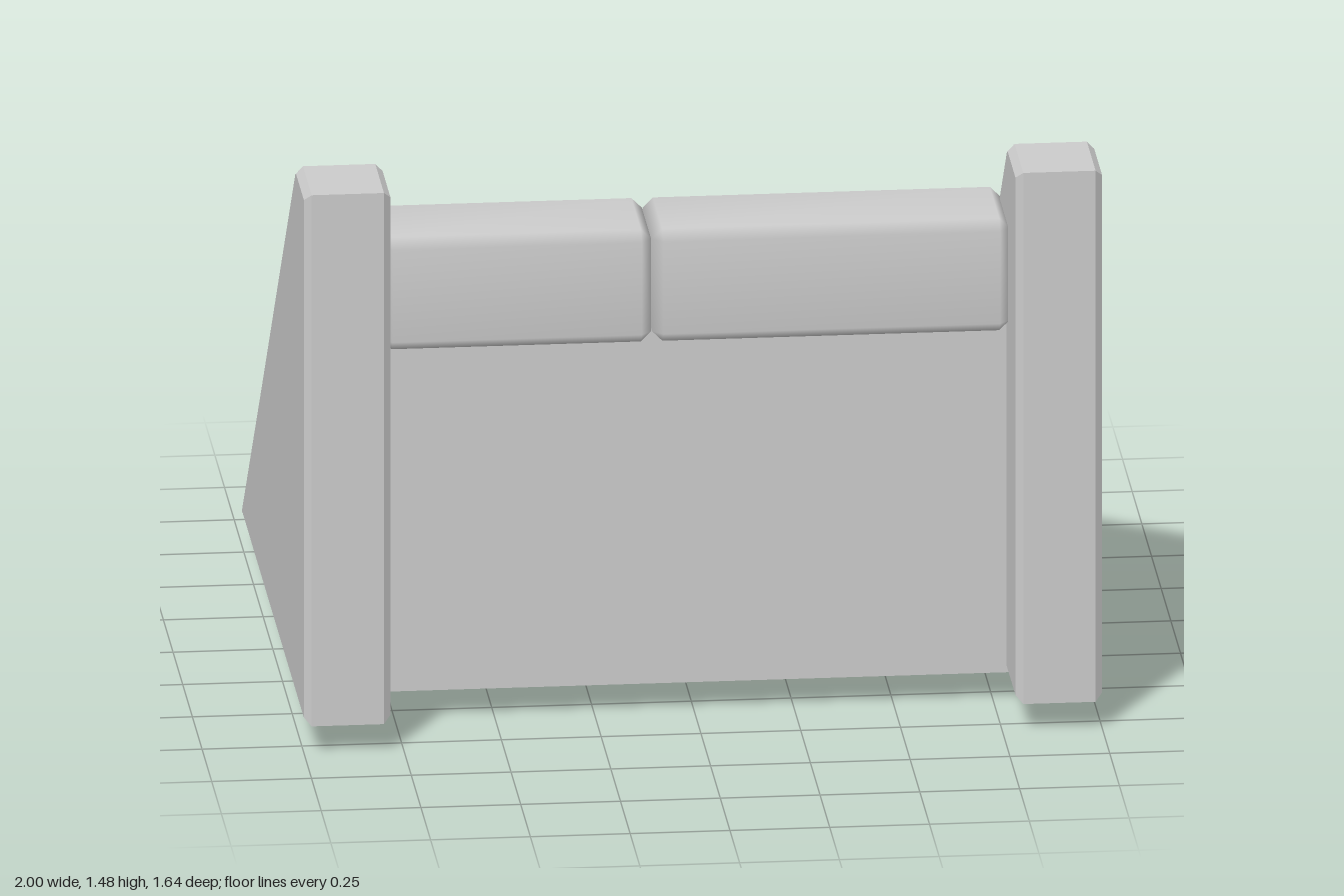
import * as THREE from 'three';
import { ConvexGeometry } from 'three/addons/geometries/ConvexGeometry.js';
import { mergeVertices } from 'three/addons/utils/BufferGeometryUtils.js';

const stone = new THREE.MeshStandardMaterial({ color: 0xcccccc });

function add(group, geometry, name) {
  const mesh = new THREE.Mesh(geometry, stone);
  mesh.name = name;
  group.add(mesh);
  return mesh;
}

// Extrudes a (z, y) outline sideways from x0 to x1
function sideExtrude(outline, x0, x1, bevel = 0) {
  const shape = new THREE.Shape(outline.map(([z, y]) => new THREE.Vector2(-z, y)));
  const geometry = new THREE.ExtrudeGeometry(shape, {
    depth: x1 - x0 - 2 * bevel,
    bevelEnabled: bevel > 0,
    bevelSize: bevel,
    bevelThickness: bevel,
    bevelOffset: -bevel,
    bevelSegments: 1,
  });
  geometry.rotateY(Math.PI / 2);
  geometry.translate(x0 + bevel, 0, 0);
  return geometry;
}

// Box with one chamfer along every edge and softly shaded faces
function chamferBox(width, height, depth, chamfer) {
  const half = [width / 2, height / 2, depth / 2];
  const points = [];
  for (const sx of [-1, 1]) for (const sy of [-1, 1]) for (const sz of [-1, 1]) {
    for (let face = 0; face < 3; face++) {
      const [x, y, z] = half.map((h, axis) => (axis === face ? h : h - chamfer));
      points.push(new THREE.Vector3(sx * x, sy * y, sz * z));
    }
  }
  const hull = new ConvexGeometry(points);
  hull.deleteAttribute('normal');
  const geometry = mergeVertices(hull);
  geometry.computeVertexNormals();
  return geometry;
}

export function createModel() {
  const model = new THREE.Group();
  model.name = 'stoneStairs';

  // Sloped side walls with chamfered edges
  const wall = [
    [0.82, 0.075], [0.82, 1.475], [0.595, 1.475], [0.57, 1.464], [-0.82, 0.092], [-0.81, 0.075],
  ];
  add(model, sideExtrude(wall, 0.783, 1, 0.018), 'leftWall');
  add(model, sideExtrude(wall, -1, -0.783, 0.018), 'rightWall');

  // Solid core under the steps, its underside raised slightly behind the front edge
  const core = [
    [0.572, 0.075], [0.572, 1.08], [0.42, 1.08], [-0.4, 0.25], [-0.4, 0.08], [0.52, 0.1],
  ];
  add(model, sideExtrude(core, -0.79, 0.79), 'core');

  // Steps from lowest to highest: back edge z, top y, joints between blocks
  const steps = [
    { back: -0.685, top: 0.33, joints: [-0.272, 0.285] },
    { back: -0.455, top: 0.53, joints: [-0.115] },
    { back: -0.255, top: 0.71, joints: [-0.272, 0.285] },
    { back: -0.07, top: 0.9, joints: [0.015] },
    { back: 0.145, top: 1.14, joints: [-0.272, 0.285] },
    { back: 0.34, top: 1.285, joints: [-0.11] },
  ];
  const gap = 0.002;
  steps.forEach(({ back, top, joints }, row) => {
    const step = new THREE.Group();
    step.name = `step${row + 1}`;
    const ends = [-0.788, ...joints, 0.788];
    for (let i = 0; i < ends.length - 1; i++) {
      // Outer blocks of three-block rows are slightly smaller than the middle one
      const inset = joints.length === 2 && i !== 1 ? 0.012 : 0;
      const width = ends[i + 1] - ends[i] - gap;
      const height = (row === 0 ? 0.33 : 0.295) - 2 * inset;
      const depth = (row === 0 ? 0.325 : 0.295) - 2 * inset;
      const block = add(step, chamferBox(width, height, depth, 0.026), 'stepBlock');
      block.position.set(
        (ends[i] + ends[i + 1]) / 2,
        top - inset - height / 2,
        back + inset + depth / 2,
      );
    }
    model.add(step);
  });

  return model;
}
